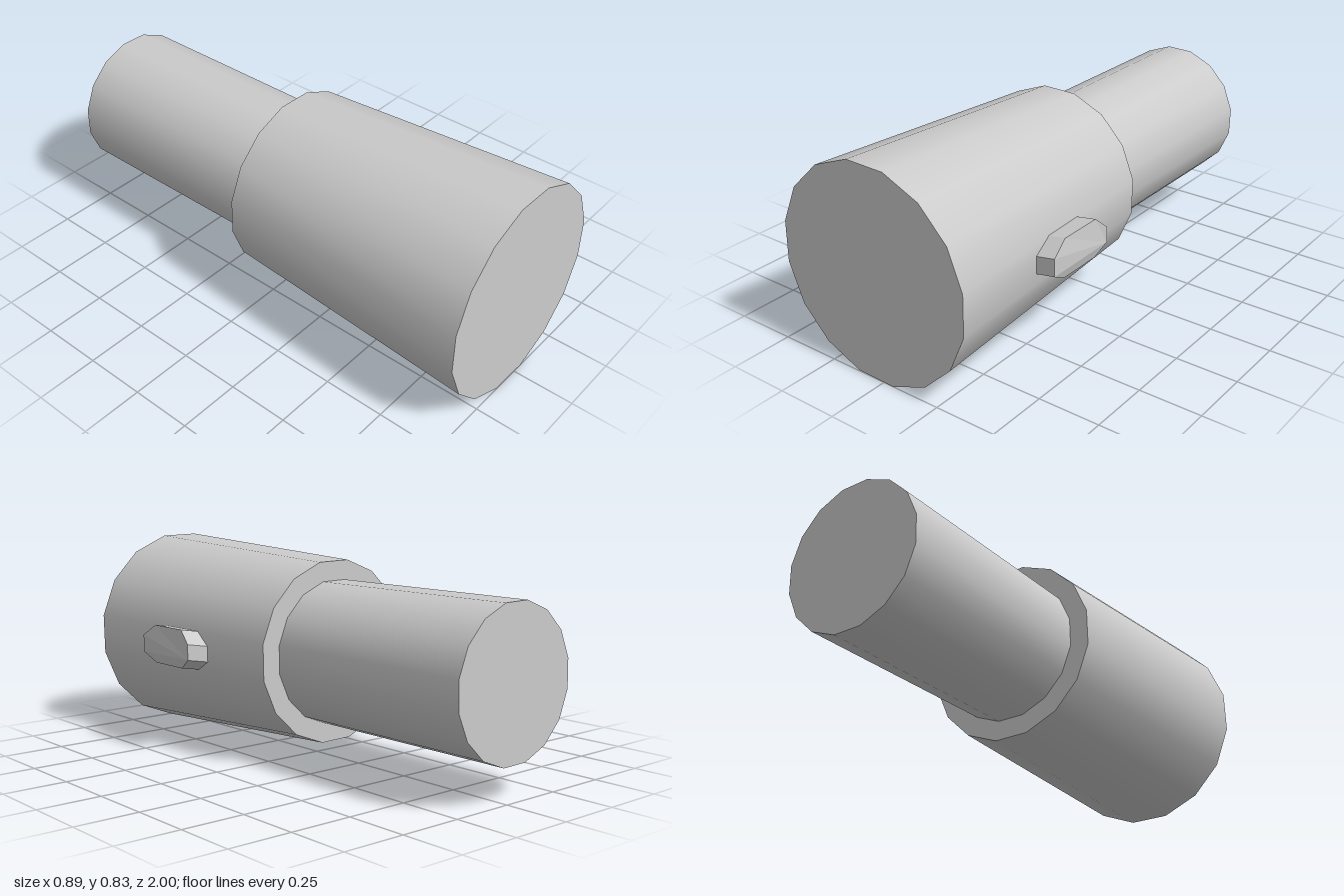
import * as THREE from 'three';

const material = new THREE.MeshStandardMaterial({ color: 0xcccccc });
const AXIS_X = -0.03, AXIS_Y = 0.415;
const TWIST = THREE.MathUtils.degToRad(10.2);

// Sixteen-sided tapered section lying along z
function section(name, frontRadius, backRadius, zFront, zBack) {
  const geometry = new THREE.CylinderGeometry(frontRadius, backRadius, zFront - zBack, 16, 1, false, TWIST);
  geometry.rotateX(Math.PI / 2);
  const mesh = new THREE.Mesh(geometry, material);
  mesh.name = name;
  mesh.position.set(AXIS_X, AXIS_Y, (zFront + zBack) / 2);
  return mesh;
}

// Eight-sided button, extruded slightly upwards out of the side wall
function sideButton() {
  // Outer rim as [x, y, z], counter-clockwise seen from +x
  const rim = [
    [0.443, 0.387, 0.265], [0.443, 0.45, 0.265], [0.433, 0.502, 0.325], [0.433, 0.502, 0.51],
    [0.443, 0.455, 0.585], [0.443, 0.385, 0.585], [0.431, 0.346, 0.51], [0.431, 0.346, 0.325],
  ];
  const base = rim.map(([x, y, z]) => [x - 0.12, y - 0.021, z]);
  const positions = [];
  const triangle = (a, b, c) => positions.push(...a, ...b, ...c);
  const n = rim.length;
  for (let i = 0; i < n; i++) {
    const j = (i + 1) % n;
    triangle(base[i], base[j], rim[j]);
    triangle(base[i], rim[j], rim[i]);
    if (i > 0 && i < n - 1) {
      triangle(rim[0], rim[i], rim[j]);
      triangle(base[0], base[j], base[i]);
    }
  }
  const geometry = new THREE.BufferGeometry();
  geometry.setAttribute('position', new THREE.Float32BufferAttribute(positions, 3));
  geometry.computeVertexNormals();
  const mesh = new THREE.Mesh(geometry, material);
  mesh.name = 'sideButton';
  return mesh;
}

export function createModel() {
  const group = new THREE.Group();
  group.name = 'twoPartTube';
  group.add(
    section('taperedHead', 0.424, 0.368, 1, -0.075),
    section('handle', 0.289, 0.289, -0.07, -1),
    sideButton(),
  );
  return group;
}
